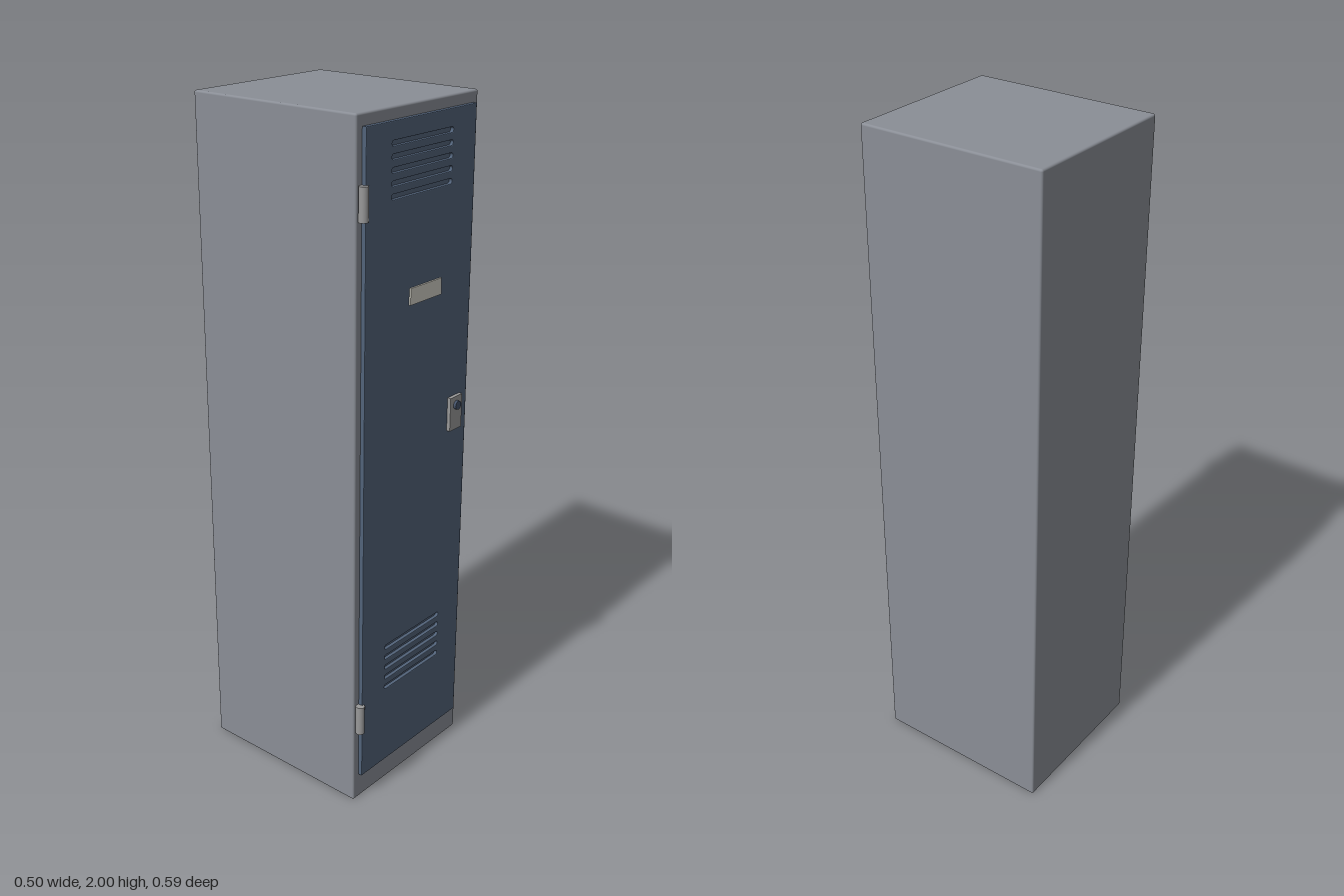
import * as THREE from 'three';
import { RoundedBoxGeometry } from 'three/addons/geometries/RoundedBoxGeometry.js';

const mat = (color) => new THREE.MeshStandardMaterial({ color });

export function createModel() {
  const locker = new THREE.Group();
  locker.name = 'locker';
  const bodyPaint = mat(0x8a8e96);
  const doorPaint = mat(0x52637a);
  const metal = mat(0x999999);

  const add = (name, geometry, material, x, y, z) => {
    const mesh = new THREE.Mesh(geometry, material);
    mesh.name = name;
    mesh.position.set(x, y, z);
    locker.add(mesh);
    return mesh;
  };

  // Cabinet body with softly rounded edges
  add('cabinet', new RoundedBoxGeometry(0.5, 2, 0.555, 3, 0.006), bodyPaint, 0, 1, -0.0175);

  // Door outline
  const [x0, x1, y0, y1] = [-0.228, 0.227, 0.082, 1.968];
  const door = new THREE.Shape();
  door.moveTo(x0, y0);
  door.lineTo(x1, y0);
  door.lineTo(x1, y1);
  door.lineTo(x0, y1);
  door.closePath();

  // Two groups of five round-ended vent slots
  const halfLength = 0.127, r = 0.007;
  for (const middle of [1.846, 0.404]) {
    for (let i = -2; i <= 2; i++) {
      const y = middle + i * 0.0335;
      const slot = new THREE.Path();
      slot.absarc(halfLength - r, y, r, -Math.PI / 2, Math.PI / 2, false);
      slot.absarc(-halfLength + r, y, r, Math.PI / 2, Math.PI * 1.5, false);
      slot.closePath();
      door.holes.push(slot);
    }
    // Panel closing the bottom of the slots
    add('ventBacking', new THREE.BoxGeometry(0.3, 0.18, 0.004), doorPaint, 0, middle, 0.262);
  }
  const bevel = 0.002;
  add('door', new THREE.ExtrudeGeometry(door, {
    depth: 0.014 - 2 * bevel, bevelThickness: bevel, bevelSize: bevel,
    bevelOffset: -bevel, bevelSegments: 2, curveSegments: 8,
  }), doorPaint, 0, 0, 0.26 + bevel);

  // Name card
  add('nameCard', new THREE.BoxGeometry(0.134, 0.046, 0.008), mat(0xd0cec4), 0.02, 1.503, 0.275);

  // Lock plate and key cylinder
  add('lockPlate', new THREE.BoxGeometry(0.054, 0.1, 0.015), metal, 0.166, 1.114, 0.2775);
  const knob = add('lockCylinder', new THREE.CylinderGeometry(0.013, 0.013, 0.016, 24),
    mat(0x45536a), 0.166, 1.138, 0.285);
  knob.rotation.x = Math.PI / 2;

  // Hinge barrels
  for (const y of [1.781, 0.281]) {
    add('hinge', new THREE.CylinderGeometry(0.013, 0.013, 0.09, 24), metal, -0.233, y, 0.271);
  }
  return locker;
}
